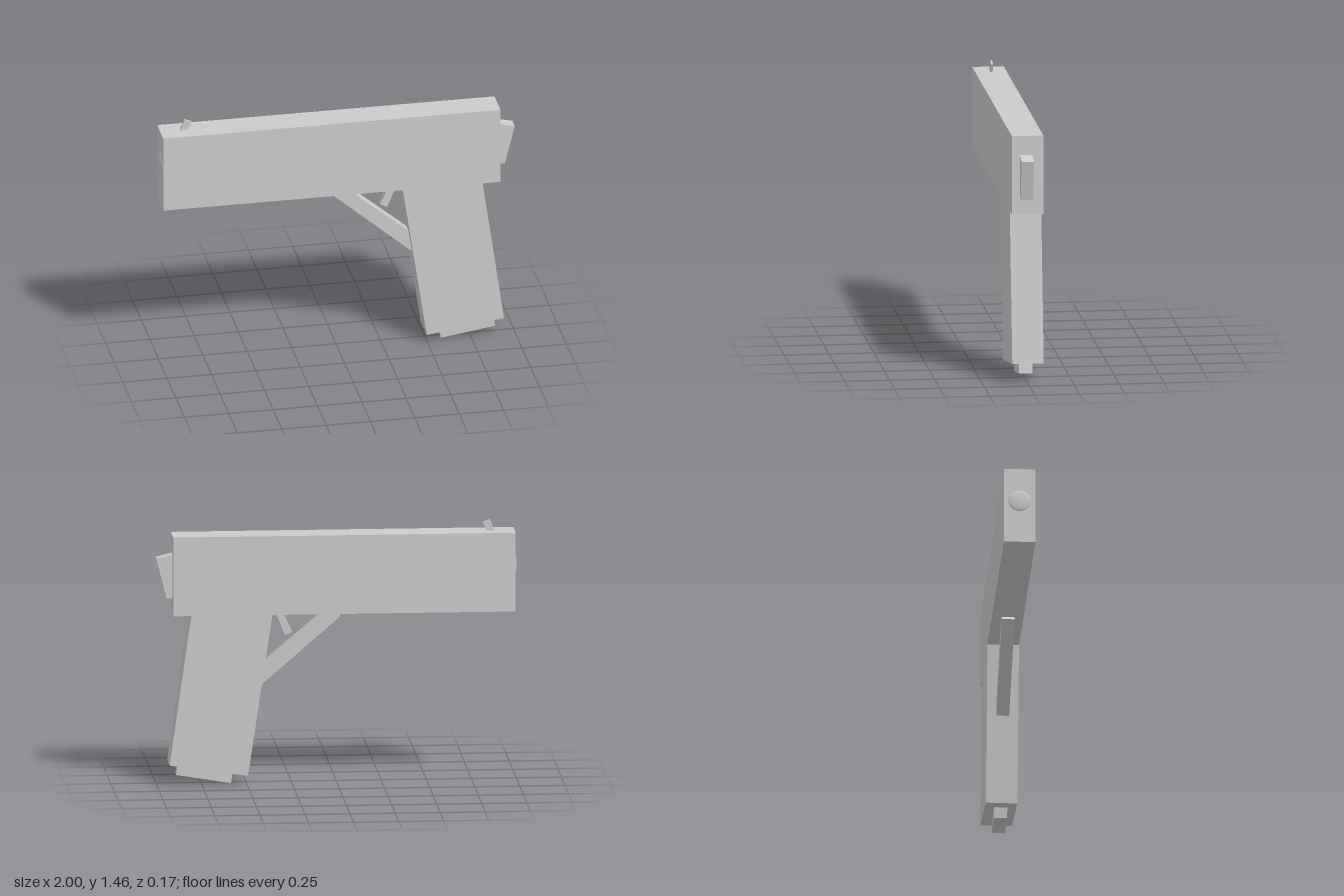
import * as THREE from 'three';

const material = new THREE.MeshStandardMaterial({ color: 0xcccccc, flatShading: true });
const smooth = new THREE.MeshStandardMaterial({ color: 0xcccccc });

// Flat part: a side outline (x, y) extruded from zMin to zMax
function plate(name, points, zMin, zMax) {
  const shape = new THREE.Shape(points.map(([x, y]) => new THREE.Vector2(x, y)));
  const geometry = new THREE.ExtrudeGeometry(shape, { depth: zMax - zMin, bevelEnabled: false });
  geometry.translate(0, 0, zMin);
  const mesh = new THREE.Mesh(geometry, material);
  mesh.name = name;
  return mesh;
}

export function createModel() {
  const group = new THREE.Group();
  group.name = 'propPistol';
  const half = 0.0875;

  // Long upper block and the raked grip beneath it
  group.add(plate('upperBody', [[-0.99, 0.957], [0.91, 0.957], [0.91, 1.4], [-0.99, 1.4]], -half, half));
  group.add(plate('grip', [[0.495, 0.053], [0.93, 0.117], [0.81, 0.957], [0.36, 0.957]], -half, half));

  // Base block under the grip, turned very slightly
  const base = plate('gripBase', [[0.585, 0.004], [0.889, 0.053], [0.876, 0.135], [0.572, 0.088]], -0.037, 0.037);
  base.geometry.translate(-0.735, 0, 0);
  base.rotation.y = -0.025;
  base.position.set(0.735, 0, 0.004);
  group.add(base);

  // Diagonal guard bar and the small lever behind it
  group.add(plate('guardBar', [[-0.022, 0.935], [0.425, 0.548], [0.47, 0.62], [0.07, 0.957], [0.045, 0.98], [0.016, 0.98]], -0.033, 0.037));
  group.add(plate('lever', [[0.245, 0.847], [0.285, 0.83], [0.347, 0.98], [0.305, 0.98]], -0.02, 0.02));

  // Rear wedge and top front fin
  group.add(plate('rearTab', [[0.89, 1.05], [0.943, 1.045], [0.999, 1.27], [0.89, 1.296]], -0.027, 0.043));
  group.add(plate('topFin', [[-0.887, 1.38], [-0.844, 1.38], [-0.813, 1.447], [-0.853, 1.463]], -0.008, 0.004));

  // Shallow dome on the front end
  const dome = new THREE.Mesh(new THREE.SphereGeometry(0.063, 32, 20), smooth);
  dome.name = 'endDome';
  dome.scale.x = 0.2;
  dome.position.set(-0.988, 1.207, -0.001);
  group.add(dome);

  return group;
}
